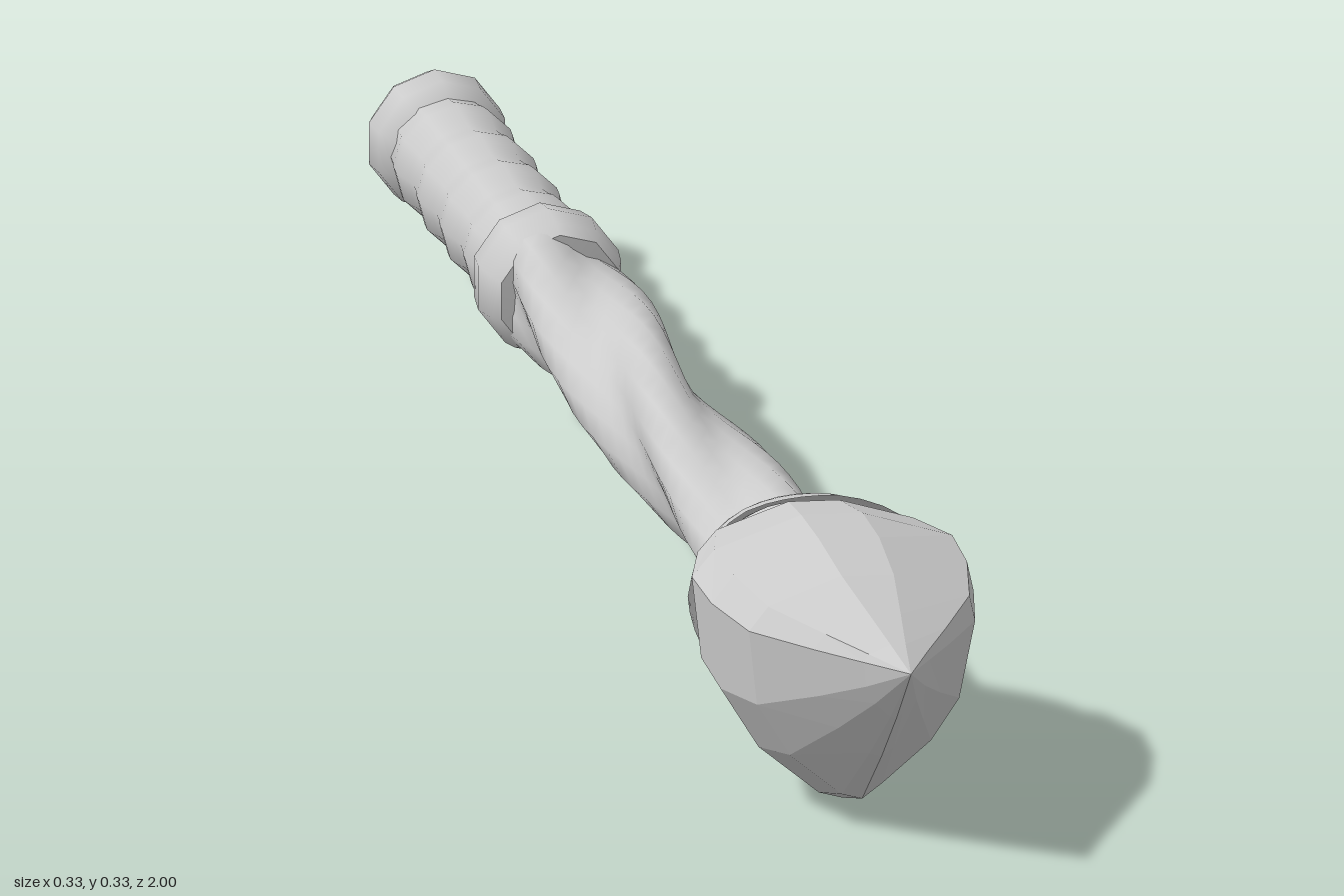
import * as THREE from 'three';

const AXIS_Y = 0.185;
const smooth = new THREE.MeshStandardMaterial({ color: 0xcccccc, side: THREE.DoubleSide });
const faceted = new THREE.MeshStandardMaterial({ color: 0xcccccc, flatShading: true });

// Skin closed loops: point(i, j) gives corner j of loop i, running +z, anticlockwise
function loft(loops, sides, point) {
  const pos = [], idx = [];
  for (let i = 0; i < loops; i++) {
    for (let j = 0; j < sides; j++) {
      pos.push(...point(i, j));
      if (i === loops - 1) continue;
      const k = (j + 1) % sides;
      const a = i * sides + j, b = i * sides + k, c = b + sides, d = a + sides;
      idx.push(a, b, c, a, c, d);
    }
  }
  const g = new THREE.BufferGeometry();
  g.setAttribute('position', new THREE.Float32BufferAttribute(pos, 3));
  g.setIndex(idx);
  g.computeVertexNormals();
  return g;
}

// Turned part along z from [radius, z] pairs, back to front
function turned(profile, sides) {
  const g = new THREE.LatheGeometry(profile.map(([r, z]) => new THREE.Vector2(r, z)), sides);
  return g.rotateX(Math.PI / 2).translate(0, AXIS_Y, 0);
}

export function createModel() {
  const model = new THREE.Group();
  const add = (name, geometry, material = smooth) => {
    const mesh = new THREE.Mesh(geometry, material);
    mesh.name = name;
    model.add(mesh);
  };

  // Bud: rounded triangular section, pinched to an upturned tip
  const outline = [
    [0.95, 0.85], [0.28, 0.98], [-0.18, 1], [-0.83, 0.9], [-1, 0.8], [-0.93, 0.47], [-0.64, 0.23],
    [-0.18, 0.03], [0, 0], [0.18, 0.06], [0.61, 0.225], [0.86, 0.4], [1, 0.735],
  ];
  // z, half width, bottom, top
  const stations = [
    [0.49, 0.05, 0.14, 0.24], [0.53, 0.095, 0.11, 0.285], [0.58, 0.135, 0.068, 0.322],
    [0.65, 0.163, 0.02, 0.333], [0.72, 0.16, 0, 0.33], [0.8, 0.138, 0.03, 0.314],
    [0.88, 0.083, 0.115, 0.295], [0.94, 0.04, 0.186, 0.28], [1, 0, 0.265, 0.265],
  ];
  const bud = loft(stations.length, outline.length, (i, j) => {
    const [z, half, low, high] = stations[i];
    const [u, v] = outline[j];
    return [u * half, low + v * (high - low), z];
  });
  add('bud', bud.toNonIndexed(), faceted);
  bud.dispose();

  // Calyx: flaring cup with three pointed sepals and a wavy neck
  const flare = [[0.43, 0.066], [0.46, 0.08], [0.49, 0.105], [0.53, 0.128], [0.57, 0.142], [0.62, 0.156]];
  const radiusAt = (z) => {
    let n = 1;
    while (n < flare.length - 1 && z > flare[n][0]) n++;
    const [z0, r0] = flare[n - 1], [z1, r1] = flare[n];
    return r0 + (r1 - r0) * (z - z0) / (z1 - z0);
  };
  add('calyx', loft(9, 36, (i, j) => {
    const a = j / 36 * Math.PI * 2;
    const lobe = Math.cos(3 * (a - Math.PI / 6));
    const back = 0.45 - 0.015 * lobe;
    const front = 0.56 + 0.045 * Math.max(0, lobe) ** 2;
    const z = back + (front - back) * i / 8;
    const r = radiusAt(z) * (1 + 0.06 * lobe * (i / 8));
    return [r * Math.cos(a), 0.187 + r * Math.sin(a), z];
  }));

  // Stem: three-lobed section twisting along its length
  add('twistedStem', loft(25, 18, (i, j) => {
    const z = -0.46 + 0.96 * i / 24;
    const a = j / 18 * Math.PI * 2;
    const twist = (-18 + 212 * z - 60 * z * z) * Math.PI / 180;
    const r = 0.064 + 0.004 * Math.abs(z) / 0.46 + 0.013 * Math.cos(3 * (a - twist));
    return [r * Math.cos(a), AXIS_Y + r * Math.sin(a), z];
  }));

  // Collar between stem and grip
  add('collar', turned([
    [0.05, -0.55], [0.07, -0.54], [0.084, -0.515], [0.09, -0.48], [0.084, -0.45],
    [0.075, -0.432], [0.075, -0.432], [0.04, -0.43],
  ], 10));

  // Grip: four soft swellings
  const grip = [];
  for (let i = 0; i <= 24; i++) {
    const t = i / 24;
    grip.push([0.071 + 0.004 * Math.cos(t * 8 * Math.PI + Math.PI), -0.9 + 0.38 * t]);
  }
  add('grip', turned(grip, 12));

  // Pommel: flattened ball
  add('pommel', turned([
    [0, -1], [0.04, -0.995], [0.068, -0.978], [0.084, -0.945], [0.081, -0.915],
    [0.066, -0.888], [0.04, -0.875], [0, -0.873],
  ], 10));

  return model;
}
